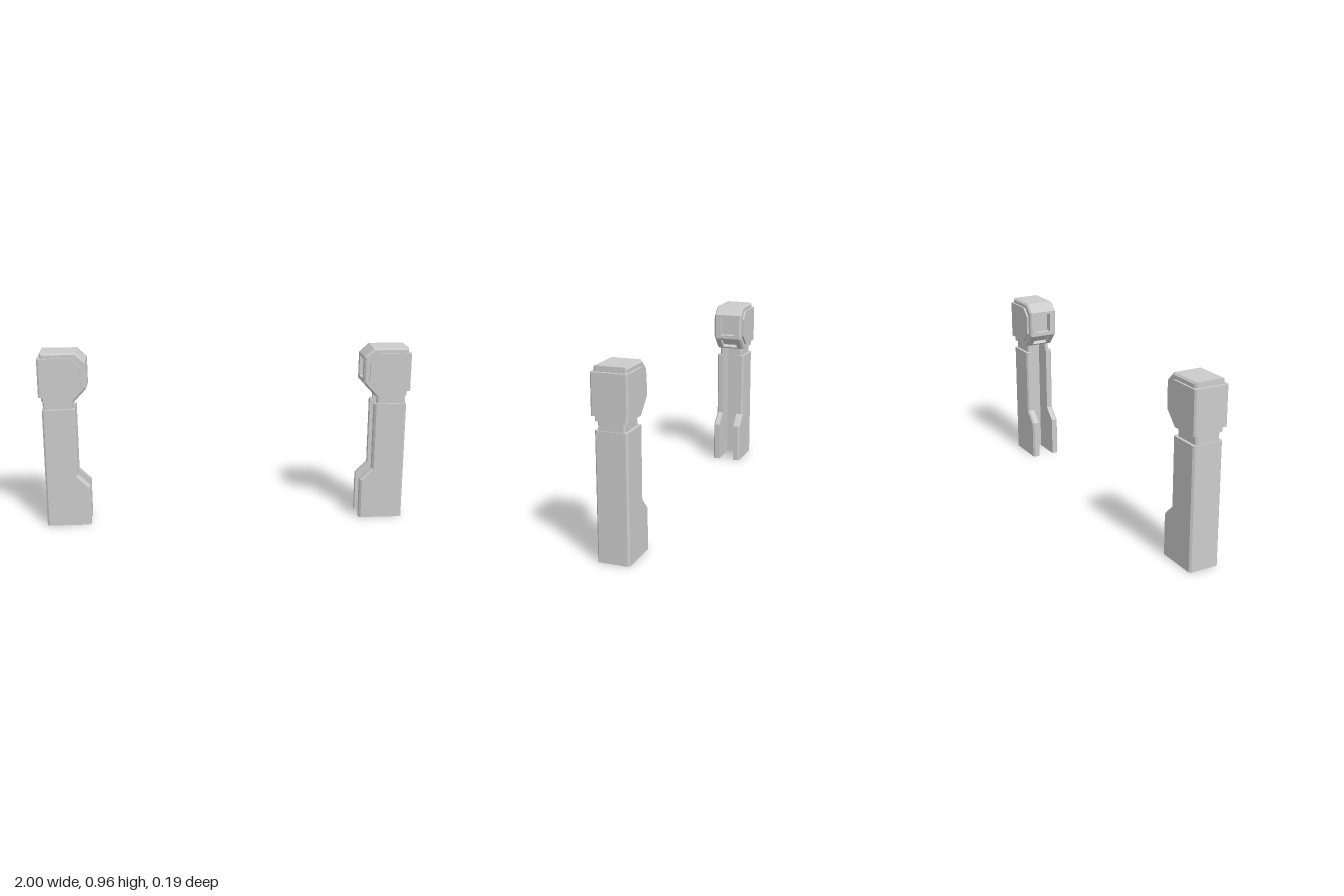
import * as THREE from 'three';

const material = new THREE.MeshStandardMaterial({ color: 0xcccccc, flatShading: true });

// Solid through matching counter-clockwise outlines, each ring = [outline, z], z increasing
function loft(name, rings) {
  const n = rings[0][0].length;
  const pos = [], idx = [];
  rings.forEach(([pts, z]) => pts.forEach(([x, y]) => pos.push(x, y, z)));
  for (let r = 0; r < rings.length - 1; r++) {
    for (let i = 0; i < n; i++) {
      const a = r * n + i, b = r * n + (i + 1) % n;
      idx.push(a, b, b + n, a, b + n, a + n);
    }
  }
  const cap = ([pts]) => THREE.ShapeUtils.triangulateShape(pts.map(p => new THREE.Vector2(...p)), []);
  const last = (rings.length - 1) * n;
  cap(rings[0]).forEach(([a, b, c]) => idx.push(a, c, b));
  cap(rings[rings.length - 1]).forEach(([a, b, c]) => idx.push(last + a, last + b, last + c));
  const indexed = new THREE.BufferGeometry();
  indexed.setAttribute('position', new THREE.Float32BufferAttribute(pos, 3));
  indexed.setIndex(idx);
  const geometry = indexed.toNonIndexed();
  geometry.computeVertexNormals();
  const mesh = new THREE.Mesh(geometry, material);
  mesh.name = name;
  return mesh;
}

// Two chamfered cheeks joined by a narrower core, which leaves the slot between them
function slottedPart(name, outline, inset, core, zCore, zEdge, zOuter) {
  const group = new THREE.Group();
  group.name = name;
  group.add(
    loft(name + 'FrontCheek', [[outline, zCore], [outline, zEdge], [inset, zOuter]]),
    loft(name + 'BackCheek', [[inset, -zOuter], [outline, -zEdge], [outline, -zCore]]),
    loft(name + 'Core', [[core, -zCore], [core, zCore]])
  );
  return group;
}

const rect = (x0, x1, y0, y1) => [[x1, y0], [x1, y1], [x0, y1], [x0, y0]];

function createPost(name) {
  const post = new THREE.Group();
  post.name = name;

  // Shaft with a wider foot and a full-height channel on the inner side
  post.add(slottedPart('shaft',
    [[0.985, 0], [0.985, 0.655], [0.81, 0.655], [0.81, 0.285], [0.745, 0.22], [0.745, 0]],
    [[0.975, 0], [0.975, 0.655], [0.82, 0.655], [0.82, 0.281], [0.755, 0.216], [0.755, 0]],
    rect(0.908, 0.985, 0, 0.655), 0.045, 0.074, 0.083));

  // Recessed neck
  post.add(slottedPart('neck',
    rect(0.825, 0.98, 0.65, 0.71), rect(0.833, 0.972, 0.65, 0.71),
    rect(0.908, 0.98, 0.65, 0.71), 0.045, 0.061, 0.068));

  // Head with pockets in the inner face and the lower slope
  post.add(slottedPart('head',
    [[0.985, 0.70], [0.985, 0.963], [0.795, 0.963], [0.745, 0.915], [0.745, 0.77], [0.81, 0.70]],
    [[0.975, 0.70], [0.975, 0.953], [0.799, 0.953], [0.755, 0.911], [0.755, 0.774], [0.824, 0.70]],
    [[0.985, 0.70], [0.985, 0.963], [0.795, 0.963], [0.745, 0.915],
      [0.745, 0.90], [0.785, 0.90], [0.785, 0.79], [0.745, 0.79], [0.745, 0.77],
      [0.755, 0.76], [0.77, 0.774], [0.818, 0.722], [0.803, 0.708], [0.81, 0.70]],
    0.045, 0.074, 0.083));

  // Raised cover wrapping the outer side, front and back of the head
  post.add(slottedPart('cover',
    [[1.0, 0.728], [1.0, 0.935], [0.82, 0.935], [0.775, 0.89], [0.775, 0.785], [0.83, 0.728]],
    [[0.992, 0.728], [0.992, 0.935], [0.82, 0.935], [0.775, 0.89], [0.775, 0.785], [0.83, 0.728]],
    rect(0.97, 1.0, 0.728, 0.935), 0.07, 0.086, 0.094));

  return post;
}

export function createModel() {
  const model = new THREE.Group();
  model.name = 'postPair';
  const left = createPost('leftPost');
  // Each post is symmetric front to back, so a half turn mirrors it
  const right = createPost('rightPost');
  right.rotation.y = Math.PI;
  model.add(left, right);
  return model;
}
